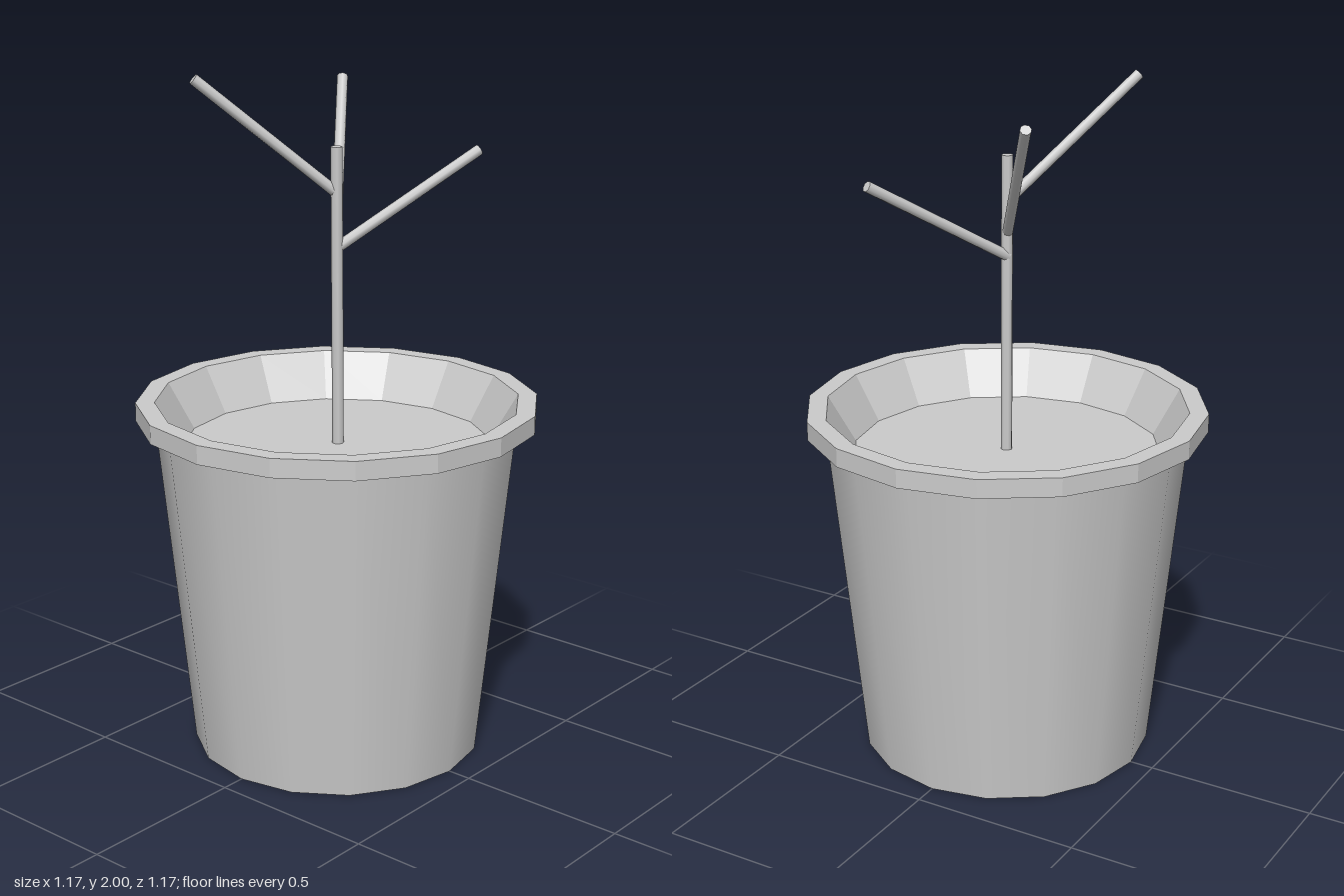
import * as THREE from 'three';

const SIDES = 16;
const smooth = new THREE.MeshStandardMaterial({ color: 0xcccccc });
const faceted = new THREE.MeshStandardMaterial({ color: 0xcccccc, flatShading: true });

function add(group, name, geometry, material) {
  const mesh = new THREE.Mesh(geometry, material);
  mesh.name = name;
  group.add(mesh);
  return mesh;
}

// Ring surface from a [radius, height] profile
function turned(profile) {
  return new THREE.LatheGeometry(profile.map(([r, y]) => new THREE.Vector2(r, y)), SIDES);
}

// Straight thin rod between two points
function rod(group, name, from, to, radius) {
  const a = new THREE.Vector3(...from);
  const b = new THREE.Vector3(...to);
  const dir = b.clone().sub(a);
  const mesh = add(group, name, new THREE.CylinderGeometry(radius, radius, dir.length(), 8), smooth);
  mesh.position.copy(a).add(b).multiplyScalar(0.5);
  mesh.quaternion.setFromUnitVectors(new THREE.Vector3(0, 1, 0), dir.normalize());
}

export function createModel() {
  const model = new THREE.Group();
  model.name = 'pottedSapling';

  // Pot: smooth tapered wall, flat base, faceted rim and inner wall
  const pot = new THREE.Group();
  pot.name = 'pot';
  add(pot, 'potWall', turned([[0.43, 0], [0.53, 1]]), smooth);
  add(pot, 'potBase', turned([[0, 0], [0.43, 0]]), faceted);
  add(pot, 'rim', turned([[0.53, 1], [0.585, 1], [0.585, 1.055], [0.53, 1.055]]), faceted);
  add(pot, 'innerWall', turned([[0.53, 1.055], [0.45, 0.92]]), faceted);
  add(pot, 'soil', turned([[0.45, 0.92], [0, 0.92]]), faceted);
  model.add(pot);

  // Sapling: leaning stem with three bare branches
  const sapling = new THREE.Group();
  sapling.name = 'sapling';
  rod(sapling, 'stem', [0.002, 0.9, 0], [-0.008, 1.79, 0.003], 0.017);
  rod(sapling, 'lowerBranch', [-0.005, 1.5, 0], [0.38, 1.755, 0.212], 0.016);
  rod(sapling, 'middleBranch', [-0.005, 1.57, 0], [0.287, 1.938, -0.225], 0.016);
  rod(sapling, 'upperBranch', [-0.006, 1.66, 0], [-0.322, 1.988, -0.243], 0.016);
  model.add(sapling);

  return model;
}
